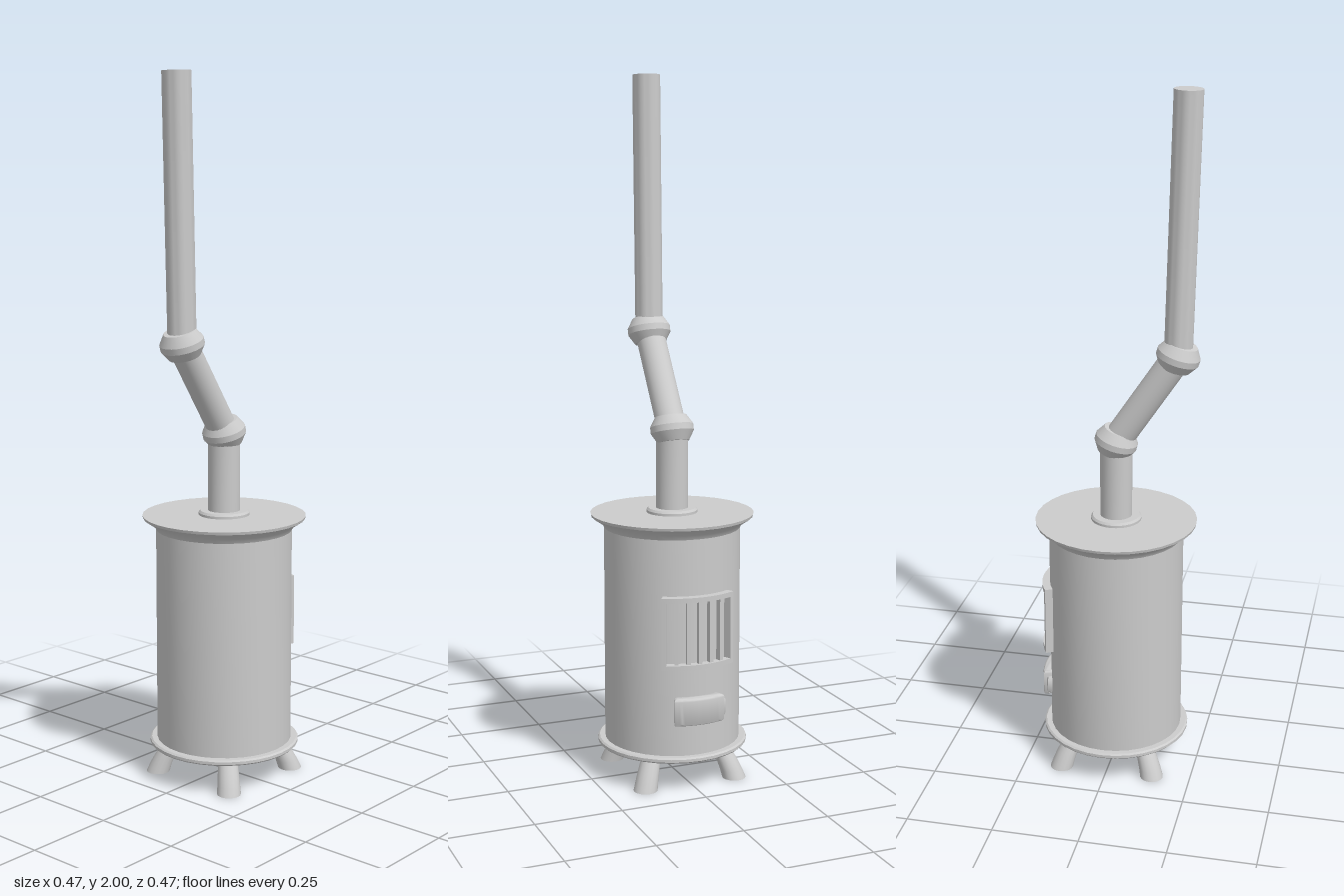
import * as THREE from 'three';
import { toCreasedNormals } from 'three/addons/utils/BufferGeometryUtils.js';

const material = new THREE.MeshStandardMaterial({ color: 0xcccccc });
const UP = new THREE.Vector3(0, 1, 0);

function add(parent, name, geometry, crease = 0.6) {
  const mesh = new THREE.Mesh(toCreasedNormals(geometry, crease), material);
  mesh.name = name;
  parent.add(mesh);
  return mesh;
}

// Profile points are [radius, height], from bottom to top
function lathe(points, segments = 32) {
  return new THREE.LatheGeometry(points.map(([r, y]) => new THREE.Vector2(r, y)), segments);
}

// Curved plate wrapped round the drum, centred on +x between two angles
function arcPlate(r0, r1, a0, a1, y0, y1, bevel = 0) {
  const shape = new THREE.Shape();
  shape.absarc(0, 0, r1, a0, a1, false);
  shape.absarc(0, 0, r0, a1, a0, true);
  shape.closePath();
  const geometry = new THREE.ExtrudeGeometry(shape, {
    depth: y1 - y0 - 2 * bevel, curveSegments: 10, bevelEnabled: bevel > 0,
    bevelSize: bevel, bevelThickness: bevel, bevelOffset: -bevel, bevelSegments: 3,
  });
  return geometry.rotateX(-Math.PI / 2).translate(0, y0 + bevel, 0);
}

// Straight capped pipe between two points
function pipe(parent, name, a, b, radius) {
  const mesh = add(parent, name, new THREE.CylinderGeometry(radius, radius, a.distanceTo(b), 24));
  mesh.position.copy(a).lerp(b, 0.5);
  mesh.quaternion.setFromUnitVectors(UP, b.clone().sub(a).normalize());
}

export function createModel() {
  const stove = new THREE.Group();
  stove.name = 'stove';

  // Drum, flared lid and base plate
  add(stove, 'drum', lathe([[0, 0.1], [0.195, 0.1], [0.195, 0.74], [0, 0.74]]));
  add(stove, 'lid', lathe([[0, 0.725], [0.195, 0.725], [0.202, 0.738], [0.232, 0.758], [0.234, 0.766], [0, 0.766]]));
  add(stove, 'basePlate', lathe([[0, 0.09], [0.212, 0.09], [0.216, 0.094], [0.216, 0.102], [0.211, 0.106], [0, 0.106]]));
  add(stove, 'flueCollar', lathe([[0, 0.762], [0.073, 0.762], [0.073, 0.773], [0.068, 0.779], [0, 0.779]]));

  // Splayed legs, leaning outwards towards the floor
  for (const sx of [-1, 1]) {
    for (const sz of [-1, 1]) {
      const geometry = new THREE.CylinderGeometry(0.027, 0.034, 0.095, 16, 4).translate(0, 0.0475, 0);
      const p = geometry.attributes.position;
      for (let i = 0; i < p.count; i++) {
        const lean = 0.137 - 0.034 * Math.pow(p.getY(i) / 0.095, 1.2);
        p.setX(i, p.getX(i) + sx * lean);
        p.setZ(i, p.getZ(i) + sz * lean);
      }
      add(stove, 'leg', geometry);
    }
  }

  // Bent flue with a ring at each elbow
  const path = [[0, 0.77], [0, 1.005], [-0.175, 1.27], [-0.193, 1.999]].map(([x, y]) => new THREE.Vector3(x, y, 0));
  const radii = [0.046, 0.042, 0.04];
  const names = ['lowerFlue', 'slantedFlue', 'upperFlue'];
  radii.forEach((r, i) => pipe(stove, names[i], path[i], path[i + 1], r));
  for (const i of [1, 2]) {
    const before = path[i].clone().sub(path[i - 1]).normalize();
    const after = path[i + 1].clone().sub(path[i]).normalize();
    const ring = add(stove, 'elbowRing',
      lathe([[0, -0.037], [0.045, -0.037], [0.062, -0.009], [0.062, 0.009], [0.045, 0.037], [0, 0.037]], 24), 0.4);
    ring.position.copy(path[i]);
    ring.quaternion.setFromUnitVectors(UP, before.add(after).normalize());
  }

  // Curved fire door on the +x side: rails, stiles and upright bars
  const door = new THREE.Group();
  door.name = 'fireDoor';
  stove.add(door);
  const half = 0.525;
  for (const y of [0.36, 0.552]) add(door, 'doorRail', arcPlate(0.185, 0.217, -half, half, y, y + 0.014));
  for (const s of [-1, 1]) {
    const a = s * (half - 0.03);
    add(door, 'doorStile', arcPlate(0.185, 0.217, a - 0.03, a + 0.03, 0.37, 0.556));
  }
  for (let i = -2; i <= 2; i++) {
    const a = i * 0.165;
    add(door, 'doorBar', arcPlate(0.19, 0.21, a - 0.027, a + 0.027, 0.37, 0.556));
  }

  // Rounded ash drawer with a small end grip
  const drawer = new THREE.Group();
  drawer.name = 'ashDrawer';
  stove.add(drawer);
  add(drawer, 'drawerFront', arcPlate(0.18, 0.218, -0.36, 0.35, 0.198, 0.277, 0.008), 0.9);
  add(drawer, 'drawerGrip', arcPlate(0.185, 0.209, 0.32, 0.42, 0.212, 0.26, 0.006), 0.9);

  return stove;
}
